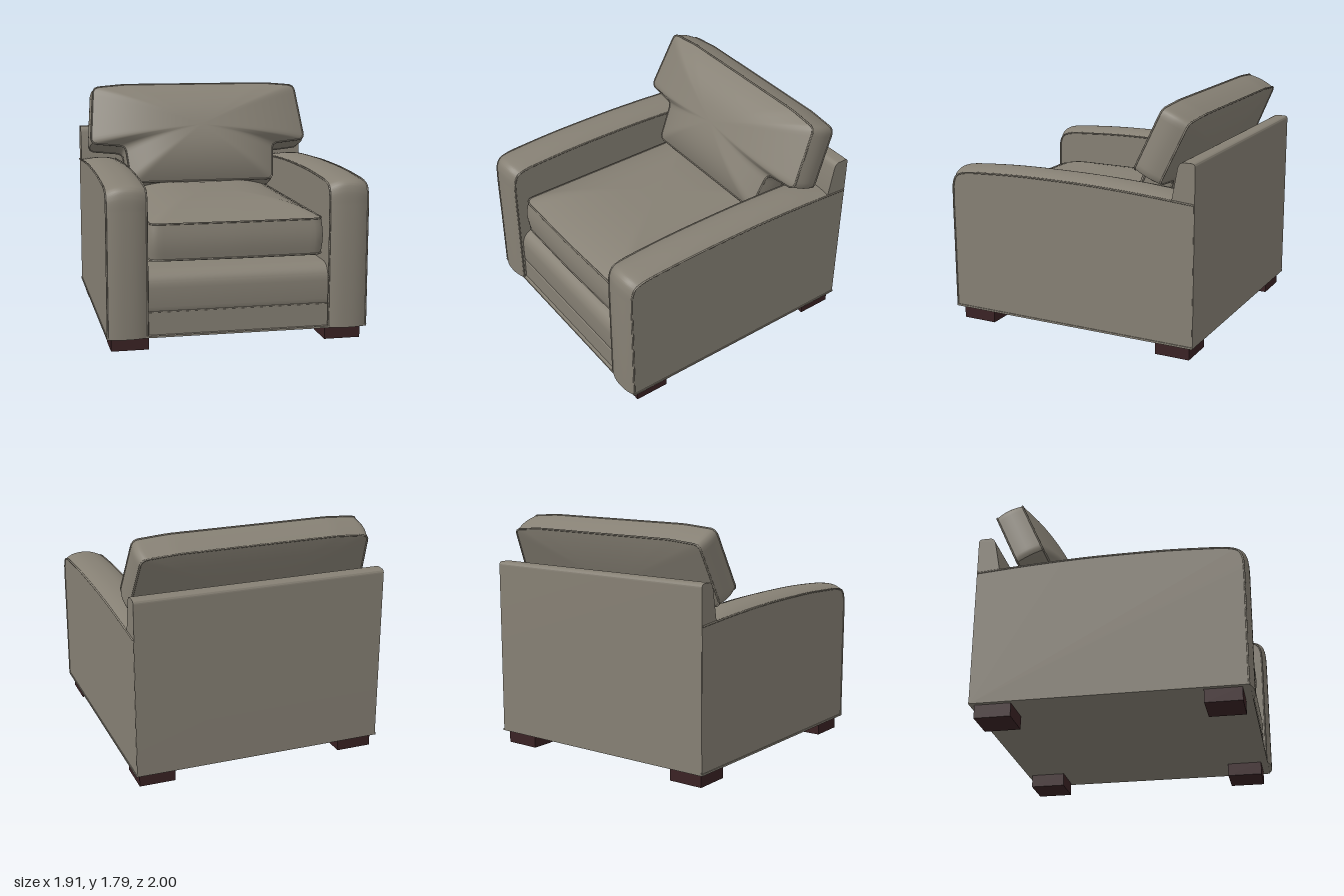
import * as THREE from 'three';
import { toCreasedNormals } from 'three/addons/utils/BufferGeometryUtils.js';

const fabric = new THREE.MeshStandardMaterial({ color: 0x868074 });
fabric.name = 'taupeFabric';
const wood = new THREE.MeshStandardMaterial({ color: 0x3a2224 });
wood.name = 'darkWood';

function add(parent, name, geometry, material = fabric) {
  const mesh = new THREE.Mesh(geometry, material);
  mesh.name = name;
  parent.add(mesh);
  return mesh;
}

function box(parent, name, x0, x1, y0, y1, z0, z1, material) {
  const geo = new THREE.BoxGeometry(x1 - x0, y1 - y0, z1 - z0);
  geo.translate((x0 + x1) / 2, (y0 + y1) / 2, (z0 + z1) / 2);
  return add(parent, name, geo, material);
}

// Closed polygon with rounded corners, sampled evenly
function roundedOutline(corners, r, count) {
  const pts = corners.map(([x, y]) => new THREE.Vector2(x, y));
  const path = new THREE.Path();
  pts.forEach((p, i) => {
    const prev = pts[(i + pts.length - 1) % pts.length];
    const next = pts[(i + 1) % pts.length];
    const a = p.clone().add(prev.clone().sub(p).setLength(r));
    const b = p.clone().add(next.clone().sub(p).setLength(r));
    if (i === 0) path.moveTo(a.x, a.y);
    else path.lineTo(a.x, a.y);
    path.quadraticCurveTo(p.x, p.y, b.x, b.y);
  });
  path.closePath();
  return path.getSpacedPoints(count).slice(0, count);
}

// Extrude a (z, y) profile across x, from x0 to x1
function extrudeAcross(shape, x0, x1, steps = 1) {
  const geo = new THREE.ExtrudeGeometry(shape, { depth: x1 - x0, steps, bevelEnabled: false, curveSegments: 24 });
  geo.rotateY(-Math.PI / 2);
  geo.translate(x1, 0, 0);
  return geo;
}

function piping(parent, points, closed) {
  const curve = new THREE.CatmullRomCurve3(points, closed, 'centripetal');
  add(parent, 'piping', new THREE.TubeGeometry(curve, 180, 0.007, 6, closed));
}

// Stuffed cushion: front seam at z = 0, wall going back, both faces bulging
function cushion(name, outline, centre, thickness, bulgeFront, bulgeBack, power) {
  const group = new THREE.Group();
  group.name = name;
  const n = outline.length, rings = 12, rows = [];
  for (let i = 0; i <= rings; i++) {
    const s = Math.sin((i / rings) * Math.PI / 2);
    rows.push([s, bulgeFront * (1 - s ** power)]);
  }
  for (let k = 1; k < 6; k++) rows.push([1 + 0.018 * Math.sin((k / 6) * Math.PI), -thickness * k / 6]);
  for (let i = rings; i >= 0; i--) {
    const s = Math.sin((i / rings) * Math.PI / 2);
    rows.push([s, -thickness - bulgeBack * (1 - s ** power)]);
  }
  const pos = [], index = [];
  for (const [s, z] of rows) {
    for (const p of outline) pos.push(centre[0] + (p.x - centre[0]) * s, centre[1] + (p.y - centre[1]) * s, z);
  }
  for (let i = 0; i < rows.length - 1; i++) {
    for (let j = 0; j < n; j++) {
      const k = (j + 1) % n;
      const a = i * n + j, b = a + n, c = (i + 1) * n + k, d = i * n + k;
      if (i < rows.length - 2) index.push(a, b, c);
      if (i > 0) index.push(a, c, d);
    }
  }
  const geo = new THREE.BufferGeometry();
  geo.setAttribute('position', new THREE.Float32BufferAttribute(pos, 3));
  geo.setIndex(index);
  add(group, 'stuffing', toCreasedNormals(geo, 0.65));
  for (const z of [0, -thickness]) piping(group, outline.map(p => new THREE.Vector3(p.x, p.y, z)), true);
  return group;
}

// Arm: side profile extruded in slices, top and front crowned across the width
function arm(name, x0, x1) {
  const group = new THREE.Group();
  group.name = name;
  const top = [[0.968, 1.0], [0.962, 1.08], [0.935, 1.135], [0.87, 1.16], [0.65, 1.178], [0.4, 1.188],
    [0.1, 1.19], [-0.2, 1.186], [-0.6, 1.168], [-0.995, 1.14]].map(([z, y]) => new THREE.Vector2(z, y));
  const shape = new THREE.Shape();
  shape.moveTo(-0.995, 0.1);
  shape.lineTo(0.965, 0.1);
  shape.lineTo(0.968, 1.0);
  shape.splineThru(top.slice(1));
  shape.closePath();
  const geo = extrudeAcross(shape, x0, x1, 14);
  const p = geo.attributes.position;
  for (let i = 0; i < p.count; i++) {
    const t = Math.abs((2 * (p.getX(i) - x0)) / (x1 - x0) - 1);
    const crown = 1 - t ** 2.4;
    const y = p.getY(i), z = p.getZ(i);
    const back = THREE.MathUtils.smoothstep(z, -1.2, -0.5);
    p.setY(i, y + 0.034 * crown * THREE.MathUtils.smoothstep(y, 0.95, 1.13) * back);
    p.setZ(i, z + 0.031 * crown * THREE.MathUtils.smoothstep(z, 0.75, 0.95));
  }
  geo.deleteAttribute('normal');
  add(group, 'armBody', toCreasedNormals(geo, 0.6));
  for (const x of [x0, x1]) {
    piping(group, [new THREE.Vector3(x, 0.1, 0.965), new THREE.Vector3(x, 0.6, 0.967),
      ...top.map(q => new THREE.Vector3(x, q.y, q.x))], false);
  }
  return group;
}

export function createModel() {
  const chair = new THREE.Group();
  chair.name = 'armchair';

  // Arms
  chair.add(arm('leftArm', 0.665, 0.95), arm('rightArm', -0.95, -0.665));

  // Back panel with sloped front and softened top
  const back = new THREE.Shape();
  back.moveTo(-1, 0.1);
  back.lineTo(-0.85, 0.1);
  back.lineTo(-0.83, 1.16);
  back.lineTo(-0.87, 1.38);
  back.quadraticCurveTo(-0.88, 1.425, -0.91, 1.428);
  back.lineTo(-0.97, 1.428);
  back.quadraticCurveTo(-1, 1.428, -1, 1.4);
  back.closePath();
  add(chair, 'backPanel', toCreasedNormals(extrudeAcross(back, -0.948, 0.948), 0.6));

  // Base: platform, bottom welt, lower band and rolled front rail
  box(chair, 'platform', -0.68, 0.68, 0.105, 0.56, -0.9, 0.8);
  box(chair, 'bottomWelt', -0.956, 0.956, 0.098, 0.112, -1, 0.972);
  box(chair, 'lowerBand', -0.68, 0.68, 0.1, 0.272, 0.7, 0.945);
  const rail = new THREE.Shape();
  rail.moveTo(0.6, 0.265);
  rail.lineTo(0.93, 0.265);
  rail.quadraticCurveTo(0.942, 0.285, 0.945, 0.32);
  rail.lineTo(0.945, 0.45);
  rail.quadraticCurveTo(0.94, 0.56, 0.83, 0.57);
  rail.lineTo(0.6, 0.57);
  rail.closePath();
  add(chair, 'frontRail', toCreasedNormals(extrudeAcross(rail, -0.68, 0.68), 0.6));
  piping(chair, [new THREE.Vector3(-0.67, 0.275, 0.94), new THREE.Vector3(0.67, 0.275, 0.94)], false);

  // Seat cushion
  const seatOutline = roundedOutline([[-0.635, -0.905], [0, -0.915], [0.635, -0.905], [0.635, 0.8], [-0.635, 0.8]], 0.07, 160);
  const seat = cushion('seatCushion', seatOutline, [0, -0.06], 0.26, 0.12, 0.07, 3.2);
  seat.rotation.x = -Math.PI / 2;
  seat.position.y = 0.9;
  chair.add(seat);

  // T-shaped back cushion, leaning back
  const half = [[0.59, -0.84], [0.62, -0.53], [0.9, -0.5], [0.855, -0.02], [0.6, 0.003]];
  const tee = [...half, ...half.map(([x, y]) => [-x, y]).reverse()];
  const backCushion = cushion('backCushion', roundedOutline(tee, 0.045, 190), [0, -0.4], 0.215, 0.145, 0.03, 2.5);
  backCushion.rotation.x = -0.42;
  backCushion.position.set(0, 1.78, -0.72);
  chair.add(backCushion);

  // Feet
  for (const side of [-1, 1]) {
    const x = side * 0.787;
    box(chair, 'frontFoot', x - 0.135, x + 0.135, 0, 0.1, 0.655, 0.92, wood);
    box(chair, 'backFoot', x - 0.135, x + 0.135, 0, 0.1, -0.965, -0.7, wood);
  }
  return chair;
}
